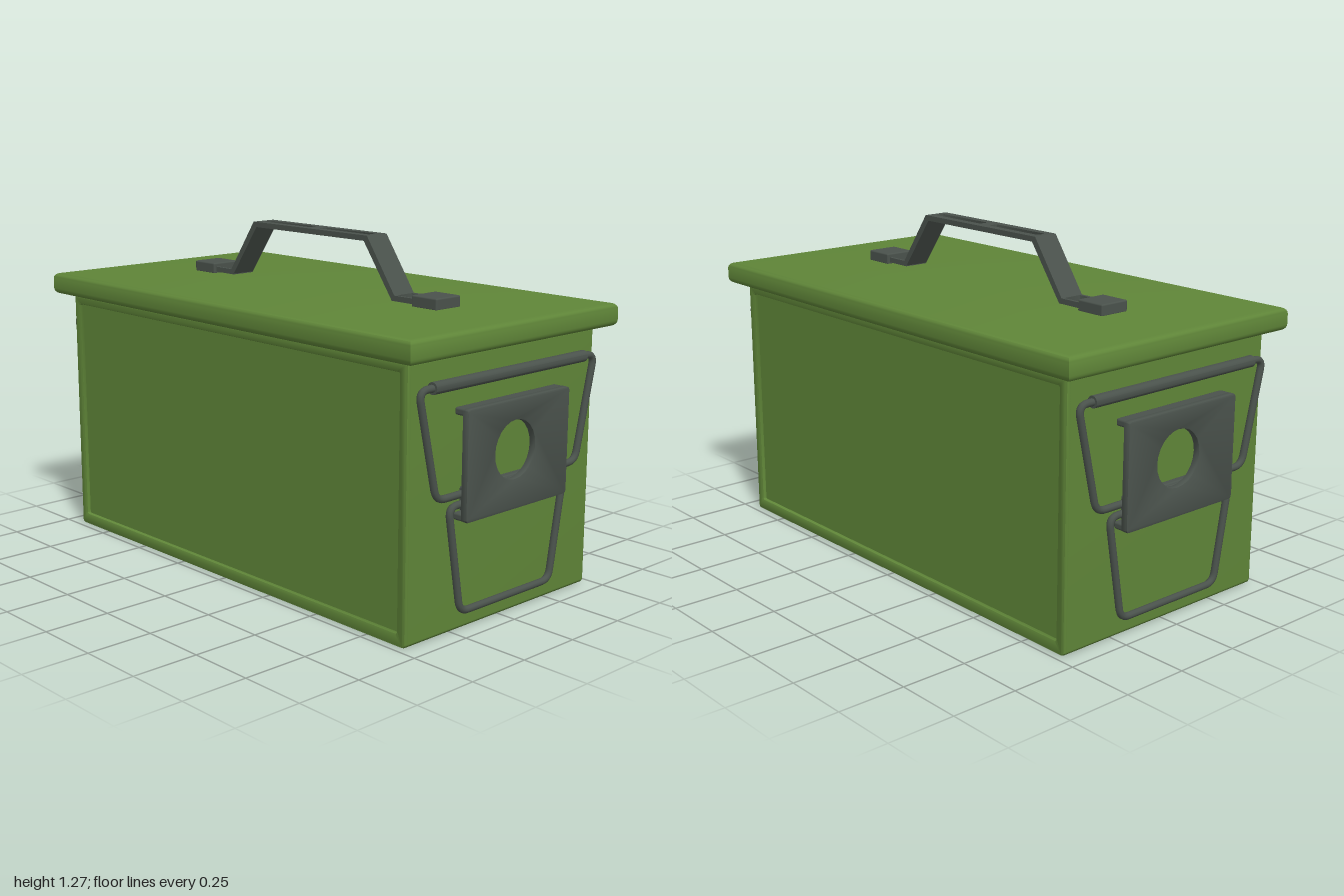
import * as THREE from 'three';
import { toCreasedNormals } from 'three/addons/utils/BufferGeometryUtils.js';
import { RoundedBoxGeometry } from 'three/addons/geometries/RoundedBoxGeometry.js';

const green = new THREE.MeshStandardMaterial({ color: 0x5f8538 });
const steel = new THREE.MeshStandardMaterial({ color: 0x4a524c });

function add(parent, name, geometry, material, x = 0, y = 0, z = 0) {
  const mesh = new THREE.Mesh(geometry, material);
  mesh.name = name;
  mesh.position.set(x, y, z);
  parent.add(mesh);
  return mesh;
}

// Rounded rectangle outline; works for both shapes and holes
function roundedRect(x0, y0, x1, y1, r, Type = THREE.Shape) {
  const s = new Type();
  const q = Math.PI / 2;
  s.absarc(x1 - r, y0 + r, r, -q, 0);
  s.absarc(x1 - r, y1 - r, r, 0, q);
  s.absarc(x0 + r, y1 - r, r, q, 2 * q);
  s.absarc(x0 + r, y0 + r, r, 2 * q, 3 * q);
  s.closePath();
  return s;
}

// Extrude with a slim bevel that stays inside the outline
function slab(shape, depth, bevel = 0) {
  const g = new THREE.ExtrudeGeometry(shape, {
    depth: depth - 2 * bevel, bevelEnabled: bevel > 0, bevelSize: bevel,
    bevelThickness: bevel, bevelOffset: -bevel, bevelSegments: 2, curveSegments: 12,
  });
  g.translate(0, 0, bevel);
  return toCreasedNormals(g, 0.7);
}

// Skin a stack of rectangles given as [half width, half depth, y]
function loftRects(rings) {
  const pos = [], index = [];
  for (const [hx, hz, y] of rings) pos.push(hx, y, hz, hx, y, -hz, -hx, y, -hz, -hx, y, hz);
  for (let i = 0; i < rings.length - 1; i++) {
    for (let j = 0; j < 4; j++) {
      const a = i * 4 + j, b = i * 4 + (j + 1) % 4;
      index.push(a, b, b + 4, a, b + 4, a + 4);
    }
  }
  const g = new THREE.BufferGeometry();
  g.setAttribute('position', new THREE.Float32BufferAttribute(pos, 3));
  g.setIndex(index);
  return toCreasedNormals(g.toNonIndexed(), 0.7);
}

// Closed wire loop in the plane x = const, corners [z, y] rounded by r
function wireLoop(corners, x, r, thickness) {
  const pts = corners.map(([z, y]) => new THREE.Vector3(x, y, z));
  const path = new THREE.CurvePath();
  const n = pts.length;
  const toward = (a, b) => a.clone().add(b.clone().sub(a).setLength(r));
  pts.forEach((p, i) => {
    const prev = pts[(i + n - 1) % n], next = pts[(i + 1) % n];
    path.add(new THREE.QuadraticBezierCurve3(toward(p, prev), p, toward(p, next)));
    path.add(new THREE.LineCurve3(toward(p, next), toward(next, p)));
  });
  return new THREE.TubeGeometry(path, 200, thickness, 10, true);
}

function buildBody(root) {
  const body = new THREE.Group();
  body.name = 'body';
  const outline = () => roundedRect(-0.93, 0, 0.93, 0.96, 0.014);
  add(body, 'bodyCore', slab(outline(), 0.92), green, 0, 0, -0.46);
  // Raised borders leave recessed panels on front and back
  const frame = outline();
  frame.holes.push(roundedRect(-0.892, 0.046, 0.892, 0.922, 0.006, THREE.Path));
  const frameGeometry = slab(frame, 0.025, 0.008);
  add(body, 'frontFrame', frameGeometry, green, 0, 0, 0.45);
  add(body, 'backFrame', frameGeometry, green, 0, 0, -0.45).rotation.y = Math.PI;
  add(body, 'neck', new THREE.BoxGeometry(1.82, 0.06, 0.9), green, 0, 0.965, 0);
  root.add(body);
}

function buildLid(root) {
  const W = 0.993, D = 0.53, y0 = 0.962, y1 = 1.045, r = 0.022;
  const rings = [[0, 0, 0.988], [W - 0.035, D - 0.035, 0.988], [W - 0.035, D - 0.035, y0]];
  // Rounded lower and upper edges
  for (const [yc, start] of [[y0 + r, -1], [y1 - r, 0]]) {
    for (let i = 0; i <= 5; i++) {
      const a = (start + i / 5) * Math.PI / 2;
      const inset = r - r * Math.cos(a);
      rings.push([W - inset, D - inset, yc + r * Math.sin(a)]);
    }
  }
  rings.push([0, 0, y1]);
  add(root, 'lid', loftRects(rings), green);
}

function buildHandle(root) {
  const handle = new THREE.Group();
  handle.name = 'carryHandle';
  const half = 0.05, t = 0.02;
  // Top strap with two slots
  const top = roundedRect(-0.312, -half, 0.312, half, 0.002);
  for (const s of [-1, 1]) {
    const x = s * 0.158;
    top.holes.push(roundedRect(x - 0.132, -0.018, x + 0.132, 0.018, 0.008, THREE.Path));
  }
  add(handle, 'handleGrip', slab(top, t).rotateX(-Math.PI / 2), steel, 0, 1.25, 0);
  // Slopes, slotted feet and mounting pads at both ends
  const slope = new THREE.Shape([[0.312, 1.27], [0.296, 1.25], [0.44, 1.05], [0.452, 1.07]]
    .map(([x, y]) => new THREE.Vector2(x, y)));
  const foot = roundedRect(0.438, -half, 0.62, half, 0.002);
  foot.holes.push(roundedRect(0.455, -0.038, 0.58, 0.038, 0.003, THREE.Path));
  const slopeGeometry = slab(slope, 2 * half).translate(0, 0, -half);
  const footGeometry = slab(foot, t).rotateX(-Math.PI / 2);
  for (const turn of [0, Math.PI]) {
    const end = new THREE.Group();
    end.name = 'handleEnd';
    end.rotation.y = turn;
    add(end, 'handleSlope', slopeGeometry, steel);
    add(end, 'handleFoot', footGeometry, steel, 0, 1.05, 0);
    add(end, 'handlePad', new RoundedBoxGeometry(0.12, 0.044, 0.124, 2, 0.006), steel, 0.606, 1.063, 0);
    handle.add(end);
  }
  root.add(handle);
}

function buildLatch() {
  const latch = new THREE.Group();
  latch.name = 'latch';
  // Pierced plate with flanges folded towards the body
  const plate = roundedRect(-0.262, 0.4, 0.262, 0.785, 0.014);
  const hole = new THREE.Path();
  hole.absarc(-0.02, 0.61, 0.102, 0, Math.PI * 2, true);
  plate.holes.push(hole);
  add(latch, 'latchPlate', slab(plate, 0.028, 0.006).rotateY(Math.PI / 2), steel, 0.972, 0, 0);
  const flange = new RoundedBoxGeometry(0.06, 0.026, 0.515, 2, 0.008);
  add(latch, 'topFlange', flange, steel, 0.963, 0.771, 0);
  add(latch, 'bottomFlange', flange, steel, 0.963, 0.414, 0);
  add(latch, 'hingeBracket', new RoundedBoxGeometry(0.03, 0.085, 0.44, 2, 0.008), steel, 0.94, 0.465, 0);
  // Upper wire bail with thick sleeve
  add(latch, 'upperBail', wireLoop([[0.45, 0.868], [0.362, 0.49], [-0.362, 0.49], [-0.45, 0.868]],
    0.955, 0.04, 0.013), steel);
  const sleeve = new THREE.CylinderGeometry(0.021, 0.021, 0.776, 16).rotateX(Math.PI / 2);
  add(latch, 'bailSleeve', toCreasedNormals(sleeve, 0.7), steel, 0.955, 0.868, 0);
  // Lower wire pull
  add(latch, 'lowerBail', wireLoop([[0.3, 0.455], [0.235, 0.076], [-0.235, 0.076], [-0.3, 0.455]],
    0.955, 0.04, 0.013), steel);
  return latch;
}

export function createModel() {
  const root = new THREE.Group();
  root.name = 'storageBox';
  buildBody(root);
  buildLid(root);
  buildHandle(root);
  // One latch per end, turned about the vertical axis
  const leftLatch = buildLatch();
  leftLatch.name = 'leftLatch';
  const rightLatch = leftLatch.clone();
  rightLatch.name = 'rightLatch';
  rightLatch.rotation.y = Math.PI;
  root.add(leftLatch, rightLatch);
  return root;
}
